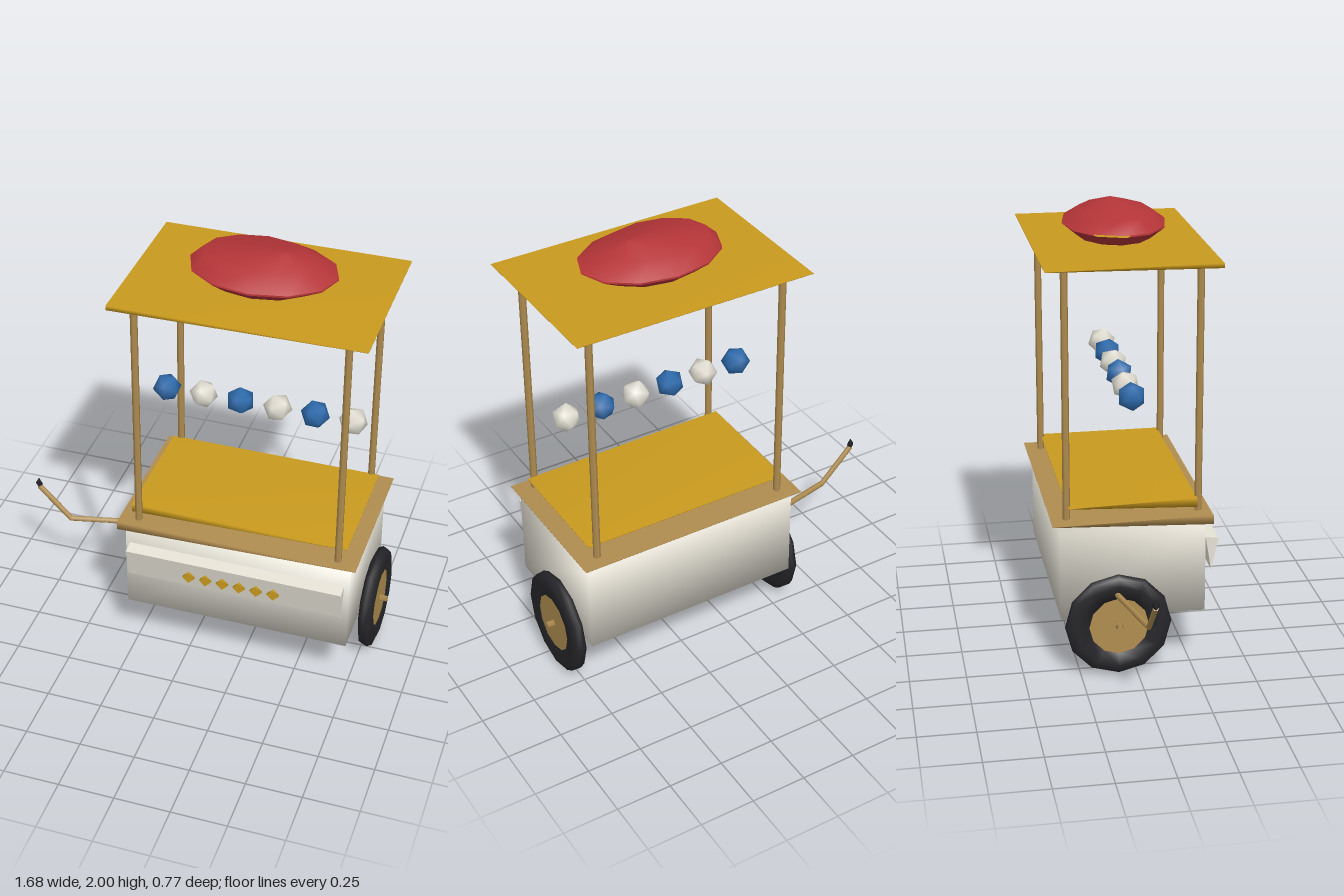
import * as THREE from 'three';
import { mergeVertices } from 'three/addons/utils/BufferGeometryUtils.js';

const mat = (color) => new THREE.MeshStandardMaterial({ color, side: THREE.DoubleSide });
const M = {
  cream: mat(0xe6e2d6), gold: mat(0xc99a1e), wood: mat(0xb08d50),
  rubber: mat(0x26262a), red: mat(0xb53538), blue: mat(0x2e6cae),
};

// Shared vertices with averaged normals, for the soft low-poly shading
function soften(geo) {
  geo.deleteAttribute('normal');
  geo.deleteAttribute('uv');
  const g = mergeVertices(geo, 1e-4);
  g.computeVertexNormals();
  return g;
}

// Thin slab that is thick only at its front right corner
function slab(x0, x1, z0, z1, yLow, yHigh, yThin) {
  const g = new THREE.BoxGeometry(x1 - x0, 1, z1 - z0);
  g.translate((x0 + x1) / 2, 0, (z0 + z1) / 2);
  const p = g.attributes.position;
  for (let i = 0; i < p.count; i++) {
    const top = p.getY(i) > 0;
    const thick = p.getX(i) < x0 + 0.01 && p.getZ(i) > z1 - 0.01;
    p.setY(i, thick ? (top ? yHigh : yLow) : yThin + (top ? 0.001 : -0.001));
  }
  return soften(g);
}

// Straight rod between two points
function rod(a, b, r, sides = 6) {
  const A = new THREE.Vector3(...a), B = new THREE.Vector3(...b);
  const dir = B.clone().sub(A);
  const g = new THREE.CylinderGeometry(r, r, dir.length(), sides);
  g.applyQuaternion(new THREE.Quaternion().setFromUnitVectors(new THREE.Vector3(0, 1, 0), dir.normalize()));
  const c = A.add(B).multiplyScalar(0.5);
  return g.translate(c.x, c.y, c.z);
}

// Bowl of elliptical rings [centreX, y, radiusX, radiusZ], ending in a point
function bowl(rings, sides = 12) {
  const pos = [], idx = [];
  for (const [cx, y, rx, rz] of rings) {
    for (let i = 0; i < sides; i++) {
      const a = (i / sides) * Math.PI * 2;
      pos.push(cx + rx * Math.cos(a), y, -0.012 + rz * Math.sin(a));
    }
  }
  const up = rings[rings.length - 1][1] > rings[0][1];
  for (let k = 0; k < rings.length - 1; k++) {
    for (let i = 0; i < sides; i++) {
      const a = k * sides + i, b = k * sides + (i + 1) % sides, c = a + sides, d = b + sides;
      idx.push(...(up ? [a, c, b, b, c, d] : [a, b, c, b, d, c]));
    }
  }
  const g = new THREE.BufferGeometry();
  g.setAttribute('position', new THREE.Float32BufferAttribute(pos, 3));
  g.setIndex(idx);
  g.computeVertexNormals();
  return g;
}

export function createModel() {
  const root = new THREE.Group();
  const add = (name, geo, material, parent = root) => {
    const m = new THREE.Mesh(geo, material);
    m.name = name;
    parent.add(m);
    return m;
  };

  // Cart body
  add('cartBody', soften(new THREE.BoxGeometry(1.02, 0.41, 0.64)), M.cream).position.set(0.235, 0.465, -0.01);

  // Sign panel: a wedge narrowing downwards
  const wedge = new THREE.Shape([[-0.314, 0.6], [-0.34, 0.445], [-0.372, 0.592]].map(([x, y]) => new THREE.Vector2(x, y)));
  const panel = new THREE.ExtrudeGeometry(wedge, { depth: 0.98, bevelEnabled: false });
  panel.rotateY(Math.PI / 2).translate(-0.255, 0, 0);
  // after the turn, depth runs along x and the profile along z
  add('signPanel', panel, M.cream);

  // Plain gold studs along the sign
  for (let i = 0; i < 6; i++) {
    const stud = add('signStud', new THREE.CylinderGeometry(0.027, 0.027, 0.012, 4), M.gold);
    stud.rotation.x = Math.PI / 2;
    stud.position.set(0.04 + i * 0.077, 0.525, 0.378);
  }

  // Counter, tray and canopy
  add('counter', slab(-0.305, 0.775, -0.365, 0.338, 0.68, 0.72, 0.71), M.wood);
  add('tray', slab(-0.255, 0.72, -0.29, 0.275, 0.745, 0.785, 0.77), M.gold);
  add('canopy', slab(-0.31, 0.78, -0.385, 0.365, 1.822, 1.842, 1.834), M.gold);

  // Canopy posts
  for (const x of [-0.22, 0.685]) {
    for (const z of [0.285, -0.295]) add('canopyPost', rod([x, 0.695, z], [x, 1.834, z], 0.016), M.wood);
  }

  // Red roof ornament in two halves
  add('ornamentTop', bowl([[0.242, 1.916, 0.317, 0.227], [0.215, 1.968, 0.235, 0.16], [0.335, 2.0, 0, 0]]), M.red);
  add('ornamentBottom', bowl([[0.242, 1.908, 0.317, 0.227], [0.235, 1.857, 0.23, 0.165], [0.335, 1.82, 0, 0]]), M.red);

  // Hanging lanterns, alternating blue and cream
  const lantern = soften(new THREE.IcosahedronGeometry(0.064, 0));
  for (let i = 0; i < 6; i++) {
    const l = add('lantern', lantern, i % 2 ? M.cream : M.blue);
    l.position.set(-0.182 + i * 0.167, 1.242, -0.003);
    l.rotation.set(i * 0.9, i * 1.3, i * 0.5);
  }

  // Wheels
  const tyreProfile = [[0.132, -0.024], [0.19, -0.033], [0.225, -0.022], [0.236, 0], [0.225, 0.022], [0.19, 0.033], [0.132, 0.024], [0.132, -0.024]]
    .map(([r, y]) => new THREE.Vector2(r, y));
  for (const x of [-0.312, 0.783]) {
    const wheel = new THREE.Group();
    wheel.name = 'wheel';
    wheel.position.set(x, 0.24, -0.083);
    wheel.rotation.z = Math.PI / 2;
    add('tyre', new THREE.LatheGeometry(tyreProfile, 12), M.rubber, wheel);
    add('hub', new THREE.CylinderGeometry(0.136, 0.136, 0.044, 12), M.wood, wheel);
    root.add(wheel);
  }
  add('axle', rod([-0.37, 0.24, -0.083], [0.84, 0.24, -0.083], 0.017, 4), M.wood);

  // Bent pull handle with dark grip
  add('handleBar', rod([-0.26, 0.39, -0.108], [-0.675, 0.39, -0.013], 0.013), M.wood);
  add('handleBend', rod([-0.67, 0.387, -0.013], [-0.825, 0.545, -0.013], 0.013), M.wood);
  const grip = add('handleGrip', soften(new THREE.OctahedronGeometry(0.02, 0)), M.rubber);
  grip.scale.set(0.9, 1.6, 0.9);
  grip.position.set(-0.826, 0.56, -0.013);

  return root;
}
